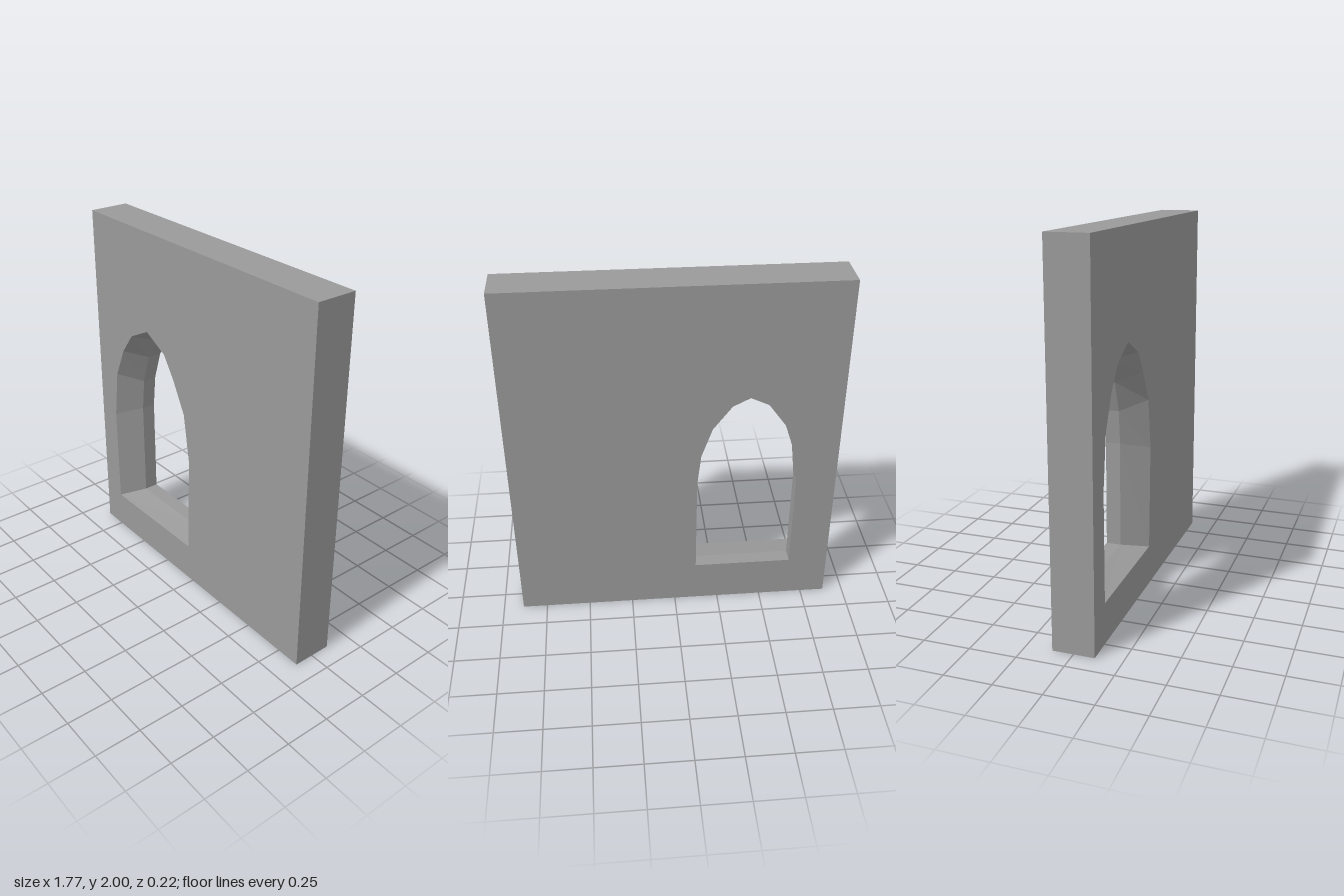
import * as THREE from 'three';

const BACK = -0.11, FRONT = 0.11, THROAT = -0.03;

// Wall outline and the two arch outlines, anticlockwise from bottom left.
const wall = [[-0.887, 0], [0.887, 0], [0.887, 2], [-0.882, 2]];
const innerArch = [
  [-0.665, 0.247], [-0.121, 0.247], [-0.121, 0.83], [-0.14, 1.015], [-0.198, 1.185],
  [-0.298, 1.32], [-0.39, 1.367], [-0.488, 1.32], [-0.585, 1.185], [-0.643, 1.01], [-0.665, 0.82],
];
const outerArch = [
  [-0.743, 0.218], [-0.04, 0.222], [-0.024, 0.794], [-0.066, 1.07], [-0.156, 1.243],
  [-0.235, 1.362], [-0.39, 1.442], [-0.542, 1.366], [-0.634, 1.243], [-0.712, 1.07], [-0.748, 0.794],
];

const material = new THREE.MeshStandardMaterial({ color: 0x9a9a9a, flatShading: true });

function part(name, geometry) {
  const mesh = new THREE.Mesh(geometry, material);
  mesh.name = name;
  return mesh;
}

// Flat wall face with an arched hole.
function face(name, arch, z, facesBack) {
  const toPoints = (list) => list.map(([x, y]) => new THREE.Vector2(facesBack ? -x : x, y));
  const shape = new THREE.Shape(toPoints(wall));
  shape.holes.push(new THREE.Path(toPoints(arch)));
  const geometry = new THREE.ShapeGeometry(shape);
  if (facesBack) geometry.rotateY(Math.PI);
  return part(name, geometry.translate(0, 0, z));
}

// Band of quads joining a back outline to a front outline.
function band(name, backRing, zBack, frontRing, zFront, inward) {
  const positions = [];
  backRing.forEach((p, i) => {
    const j = (i + 1) % backRing.length;
    const pb = [...p, zBack], qb = [...backRing[j], zBack];
    const pf = [...frontRing[i], zFront], qf = [...frontRing[j], zFront];
    const corners = inward ? [pf, qb, pb, pf, qf, qb] : [pf, pb, qb, pf, qb, qf];
    positions.push(...corners.flat());
  });
  const geometry = new THREE.BufferGeometry();
  geometry.setAttribute('position', new THREE.Float32BufferAttribute(positions, 3));
  geometry.computeVertexNormals();
  return part(name, geometry);
}

export function createModel() {
  const model = new THREE.Group();
  model.name = 'archedWindowWall';
  model.add(
    // Wall slab
    face('wallFront', outerArch, FRONT, false),
    face('wallBack', innerArch, BACK, true),
    band('wallEdges', wall, BACK, wall, FRONT, false),
    // Window opening: straight throat at the back, splayed reveal at the front
    band('windowThroat', innerArch, BACK, innerArch, THROAT, true),
    band('windowSplay', innerArch, THROAT, outerArch, FRONT, true),
  );
  return model;
}
